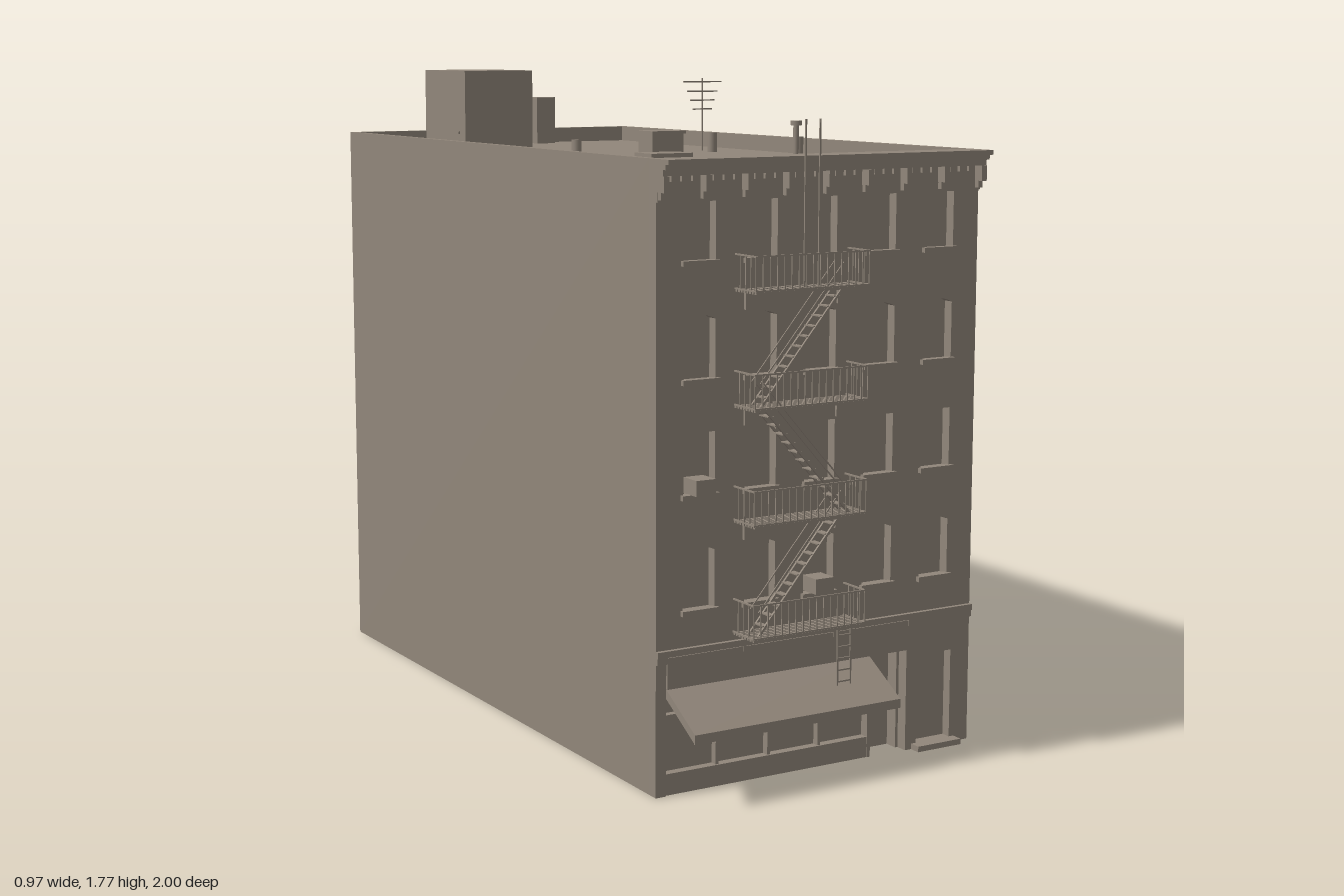
import * as THREE from 'three';

const masonry = new THREE.MeshStandardMaterial({ color: 0x91867a });
masonry.name = 'warm grey masonry';

export function createModel() {
  const model = new THREE.Group();
  model.name = 'apartmentBuilding';

  const group = (name, parent = model) => {
    const g = new THREE.Group();
    g.name = name;
    parent.add(g);
    return g;
  };
  const add = (name, geometry, parent = model) => {
    const m = new THREE.Mesh(geometry, masonry);
    m.name = name;
    parent.add(m);
    return m;
  };
  // Box given by its extents on each axis
  const box = (name, x0, x1, y0, y1, z0, z1, parent) => {
    const m = add(name, new THREE.BoxGeometry(x1 - x0, y1 - y0, z1 - z0), parent);
    m.position.set((x0 + x1) / 2, (y0 + y1) / 2, (z0 + z1) / 2);
    return m;
  };
  const cyl = (name, x, z, r, y0, y1, parent, n = 16) => {
    const m = add(name, new THREE.CylinderGeometry(r, r, y1 - y0, n), parent);
    m.position.set(x, (y0 + y1) / 2, z);
    return m;
  };
  // Thin bar between two points in a plane of constant z
  const bar = (name, x0, y0, x1, y1, z, t, parent) => {
    const m = add(name, new THREE.BoxGeometry(Math.hypot(x1 - x0, y1 - y0), t, t), parent);
    m.position.set((x0 + x1) / 2, (y0 + y1) / 2, z);
    m.rotation.z = Math.atan2(y1 - y0, x1 - x0);
    return m;
  };

  const W = 0.485, H = 1.58, FRONT = 0.863, INNER = 0.83, BACK = -0.992, ROOF = 1.535;
  const columns = [-0.362, -0.183, -0.005, 0.177, 0.36];
  const rows = [[0.465, 0.625, true], [0.755, 0.91, false], [1.04, 1.2, true], [1.33, 1.475, false]];

  // Shell, open underneath, with the walls rising as a parapet
  const shell = group('shell');
  for (const s of [-1, 1]) {
    const x = s * (W - 0.01);
    box('sideWall', x - 0.01, x + 0.01, 0, H, BACK, INNER, shell);
  }
  box('backWall', -W + 0.02, W - 0.02, 0, H, BACK, BACK + 0.018, shell);
  box('roof', -W + 0.02, W - 0.02, ROOF - 0.01, ROOF, BACK + 0.018, INNER, shell);

  // Front wall with shop opening, side door and window holes
  const wall = new THREE.Shape();
  [[-W, 0], [-0.455, 0], [-0.455, 0.275], [0.28, 0.275], [0.28, 0], [0.315, 0], [0.315, 0.255],
    [0.425, 0.255], [0.425, 0], [W, 0], [W, H], [-W, H]]
    .forEach(([x, y], i) => (i ? wall.lineTo(x, y) : wall.moveTo(x, y)));
  for (const [y0, y1, arched] of rows) {
    for (const x of columns) {
      const h = new THREE.Path();
      h.moveTo(x - 0.046, y0);
      h.lineTo(x - 0.046, arched ? y1 - 0.012 : y1);
      if (arched) h.quadraticCurveTo(x, y1 + 0.01, x + 0.046, y1 - 0.012);
      else h.lineTo(x + 0.046, y1);
      h.lineTo(x + 0.046, y0);
      h.closePath();
      wall.holes.push(h);
    }
  }
  const frontWall = add('frontWall', new THREE.ExtrudeGeometry(wall,
    { depth: FRONT - INNER, bevelEnabled: false, curveSegments: 8 }), shell);
  frontWall.position.z = INNER;

  // Recessed panes and sills
  const windows = group('windows');
  for (const [y0, y1] of rows) {
    for (const x of columns) {
      box('pane', x - 0.05, x + 0.05, y0 - 0.004, y1 + 0.004, INNER - 0.004, INNER + 0.004, windows);
      box('sill', x - 0.053, x + 0.053, y0 - 0.01, y0 + 0.003, FRONT - 0.01, FRONT + 0.012, windows);
    }
  }
  for (const y of [0.08, 0.46, 0.75, 1.04, 1.33]) {
    for (const x of [-0.35, -0.15, 0.15, 0.35]) {
      box('rearSill', x - 0.05, x + 0.05, y - 0.005, y + 0.005, -1, BACK, windows);
    }
  }
  for (const [x, y] of [[-0.361, 0.757], [-0.005, 0.468]]) {
    box('airConditioner', x - 0.028, x + 0.028, y, y + 0.04, INNER, 0.895, windows);
  }

  // Street level: shop window, recessed entrance, side door
  const shop = group('storefront');
  box('shopWindow', -0.455, 0.165, 0.055, 0.28, INNER - 0.004, INNER + 0.004, shop);
  box('bulkhead', -0.455, 0.165, 0, 0.055, INNER, FRONT - 0.005, shop);
  box('transomBar', -0.455, 0.165, 0.195, 0.205, INNER, FRONT - 0.01, shop);
  for (const x of [-0.3, -0.145, 0.01]) {
    box('mullion', x - 0.004, x + 0.004, 0.055, 0.275, INNER, FRONT - 0.01, shop);
  }
  box('shopCornerPost', 0.158, 0.168, 0, 0.275, 0.79, FRONT - 0.003, shop);
  box('entranceJamb', 0.272, 0.282, 0, 0.275, 0.79, INNER, shop);
  box('entranceCeiling', 0.16, 0.28, 0.27, 0.278, 0.79, INNER, shop);
  box('entranceDoor', 0.16, 0.28, 0, 0.275, 0.785, 0.793, shop);
  box('sideDoor', 0.31, 0.43, 0, 0.26, INNER - 0.004, INNER + 0.006, shop);
  box('doorstep', 0.3, 0.44, 0, 0.015, INNER, 0.895, shop);
  box('signBand', -0.455, 0.28, 0.275, 0.355, FRONT, FRONT + 0.006, shop);
  box('ledge', -W, W, 0.358, 0.374, FRONT, FRONT + 0.012, shop);
  box('pilasterCap', -W, -0.455, 0.34, 0.358, FRONT, FRONT + 0.008, shop);
  box('pilasterCap', 0.28, W, 0.34, 0.358, FRONT, FRONT + 0.008, shop);

  // Sloping awning with a hanging valance on three sides
  const awning = group('awning');
  const slope = (x0, x1, drop, name) => {
    const s = new THREE.Shape([[-FRONT, 0.274], [-1, 0.194], [-1, 0.194 - drop], [-FRONT, 0.274 - drop]]
      .map(([a, b]) => new THREE.Vector2(a, b)));
    const m = add(name, new THREE.ExtrudeGeometry(s, { depth: x1 - x0, bevelEnabled: false }), awning);
    m.rotation.y = Math.PI / 2;
    m.position.x = x0;
  };
  slope(-0.455, 0.16, 0.004, 'awningCanvas');
  slope(-0.455, -0.451, 0.024, 'awningSide');
  slope(0.156, 0.16, 0.024, 'awningSide');
  box('valance', -0.455, 0.16, 0.17, 0.192, 0.996, 1, awning);

  // Cornice with brackets and dentils
  const cornice = group('cornice');
  box('frieze', -W, W, 1.476, 1.54, FRONT, FRONT + 0.006, cornice);
  box('crown', -W, W, 1.568, H, FRONT, 0.922, cornice);
  box('crownStep', -W, W, 1.555, 1.568, FRONT, 0.907, cornice);
  box('bedMould', -W, W, 1.54, 1.555, FRONT, 0.895, cornice);
  for (let i = 0; i < 9; i++) {
    const x = -0.476 + i * 0.119;
    box('bracket', x - 0.008, x + 0.008, 1.5, 1.54, FRONT, 0.898, cornice);
    box('bracketFoot', x - 0.007, x + 0.007, 1.482, 1.5, FRONT, 0.883, cornice);
    for (let k = 1; k < 4 && i < 8; k++) {
      const d = x + k * 0.02975;
      box('dentil', d - 0.005, d + 0.005, 1.525, 1.54, FRONT, 0.878, cornice);
    }
  }

  // Fire escape balconies
  const escape = group('fireEscape');
  const X0 = -0.26, X1 = 0.075, Z1 = 0.958, T = 0.003;
  const floors = [0.392, 0.678, 0.967, 1.255];
  for (const y of floors) {
    const b = group('balcony', escape);
    for (let i = 0; i < 8; i++) {
      const z = FRONT + 0.004 + i * 0.0125;
      box('floorSlat', X0, X1, y - 0.004, y + 0.002, z - 0.004, z + 0.004, b);
    }
    for (const h of [0.004, 0.088]) {
      box('frontRail', X0, X1, y + h - 0.002, y + h + 0.002, Z1 - 0.004, Z1, b);
      for (const x of [X0, X1]) box('sideRail', x - 0.002, x + 0.002, y + h - 0.002, y + h + 0.002, FRONT, Z1, b);
    }
    for (let i = 0; i <= 16; i++) {
      const x = X0 + (X1 - X0) * i / 16;
      box('baluster', x - T / 2, x + T / 2, y, y + 0.088, Z1 - T, Z1, b);
    }
    for (const x of [X0, X1]) {
      for (let i = 1; i < 4; i++) {
        const z = FRONT + i * 0.024;
        box('baluster', x - T / 2, x + T / 2, y, y + 0.088, z - T / 2, z + T / 2, b);
      }
    }
    for (const x of [X0 + 0.03, X1 - 0.03]) {
      box('wallBracket', x - 0.004, x + 0.004, y - 0.05, y - 0.004, FRONT, FRONT + 0.008, b);
    }
  }

  // Stairs zigzagging between balconies
  for (let i = 0; i < 3; i++) {
    const s = group('stair', escape);
    const [xa, xb] = i % 2 ? [0.045, -0.215] : [-0.225, 0.02];
    const ya = floors[i], yb = floors[i + 1];
    for (const z of [0.885, 0.925]) {
      bar('stringer', xa, ya, xb, yb, z, 0.006, s);
      bar('handrail', xa, ya + 0.06, xb, yb + 0.06, z, T, s);
    }
    for (let k = 1; k < 12; k++) {
      const x = xa + (xb - xa) * k / 12, y = ya + (yb - ya) * k / 12;
      box('tread', x - 0.009, x + 0.009, y - 0.0015, y + 0.0015, 0.885, 0.925, s);
    }
  }

  // Drop ladder below and roof ladder above
  const ladder = (name, x0, x1, y0, y1, z, step) => {
    const g = group(name, escape);
    for (const x of [x0, x1]) box('ladderRail', x - 0.002, x + 0.002, y0, y1, z - 0.002, z + 0.002, g);
    for (let y = y0 + 0.01; step && y < y1; y += step) {
      box('rung', x0, x1, y - 0.002, y + 0.002, z - 0.002, z + 0.002, g);
    }
  };
  ladder('dropLadder', 0.008, 0.048, 0.235, 0.392, 0.935, 0.03);
  ladder('roofLadder', -0.114, -0.072, 1.255, 1.67, 0.948, 0);

  // Rooftop objects
  const top = group('rooftop');
  box('stairBulkhead', -0.312, -0.09, ROOF, 1.77, -0.812, -0.537, top);
  box('bulkheadDoorKnob', -0.317, -0.312, 1.585, 1.593, -0.583, -0.575, top);
  box('flue', -0.172, -0.108, ROOF, 1.72, -0.855, -0.812, top);
  box('chimney', 0.112, 0.176, ROOF, 1.68, -0.947, -0.896, top);
  box('hatch', -0.015, 0.085, ROOF, 1.6, -0.035, 0.045, top);
  box('hatchLid', -0.019, 0.09, 1.6, 1.608, -0.038, 0.05, top);
  box('skylight', -0.22, -0.093, ROOF, 1.565, 0.3, 0.39, top);
  for (const [x, z, y] of [[0.298, -0.145, 1.592], [-0.275, 0.08, 1.592], [0.315, 0.28, 1.595]]) {
    cyl('ventPipe', x, z, 0.014, ROOF, y, top);
  }
  cyl('cappedVent', 0.287, 0.31, 0.008, ROOF, 1.628, top);
  const cap = cyl('ventCap', 0.287, 0.31, 0.016, 1.625, 1.643, top);
  cap.scale.set(1, 0.7, 1);

  // Aerial
  const aerial = group('aerial', top);
  cyl('mast', 0.315, -0.228, 0.0025, ROOF, 1.748, aerial, 8);
  [[1.738, 0.065], [1.71, 0.052], [1.684, 0.042], [1.658, 0.032]].forEach(([y, r]) =>
    box('crossRod', 0.315 - r, 0.315 + r, y - 0.002, y + 0.002, -0.23, -0.226, aerial));

  return model;
}
